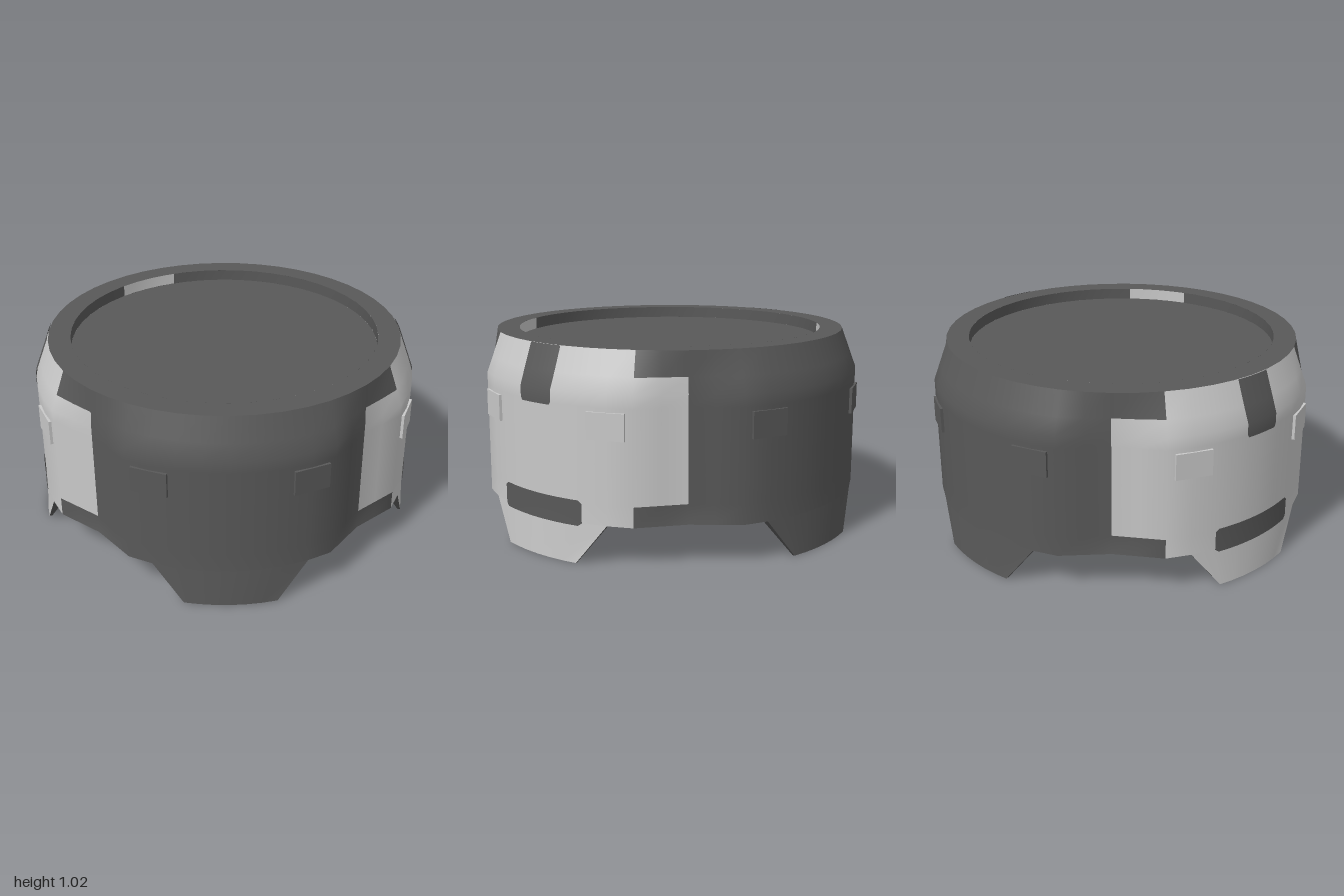
import * as THREE from 'three';

const mat = (name, color) => {
  const m = new THREE.MeshStandardMaterial({ color, side: THREE.DoubleSide });
  m.name = name;
  return m;
};
const rad = THREE.MathUtils.degToRad;
const lerp = THREE.MathUtils.lerp;

// Body radius by angle: round, with flattened corners on the four diagonals
function planRadius(deg) {
  let f = ((deg % 90) + 90) % 90;
  if (f > 45) f = 90 - f;
  if (f <= 30) return 0.99;
  const dx = -0.202, dy = 0.16, c = Math.cos(rad(f)), s = Math.sin(rad(f));
  return (0.857 * dy - 0.495 * dx) / (c * dy - s * dx);
}

// Body radius by angle and height: slight flare at the feet, taper at the rim
function wallRadius(deg, y) {
  const r = planRadius(deg);
  if (y < 0.2) return lerp(1, r, y / 0.2);
  if (y > 0.82) return lerp(r, 0.915, (y - 0.82) / 0.2);
  return r;
}

const polar = (deg, r, y) => new THREE.Vector3(r * Math.cos(rad(deg)), y, -r * Math.sin(rad(deg)));
const wallPoint = (deg, y, out = 0) => polar(deg, wallRadius(deg, y) + out, y);

// Smooth wall normal, shared by all panels so that no seams show
function wallNormal(p) {
  const deg = THREE.MathUtils.radToDeg(Math.atan2(-p.z, p.x));
  const around = wallPoint(deg + 6, p.y).sub(wallPoint(deg - 6, p.y));
  const up = wallPoint(deg, p.y + 0.06).sub(wallPoint(deg, p.y - 0.06));
  return around.cross(up).normalize();
}

// Angles from a to b in steps of about 7.5 degrees or finer
function arc(a, b, step = 7.5) {
  const n = Math.max(1, Math.ceil(Math.abs(b - a) / step));
  return Array.from({ length: n + 1 }, (_, i) => lerp(a, b, i / n));
}

// Surface through rows of points
function loft(rows) {
  const n = rows[0].length, index = [];
  for (let j = 0; j < rows.length - 1; j++) {
    for (let i = 0; i < n - 1; i++) {
      const a = j * n + i, d = a + n;
      index.push(a, a + 1, d + 1, a, d + 1, d);
    }
  }
  const g = new THREE.BufferGeometry().setFromPoints(rows.flat());
  g.setIndex(index);
  g.computeVertexNormals();
  return g;
}

export function createModel() {
  const group = new THREE.Group();
  const dark = mat('dark grey', 0x585858);
  const light = mat('light grey', 0xc8c8c8);
  const medium = mat('medium grey', 0xa2a2a2);

  const add = (name, geometry, material) => {
    const m = new THREE.Mesh(geometry, material);
    m.name = name;
    group.add(m);
    return m;
  };

  // Piece of the wall through rows of [height, half angle]
  const wall = (name, mid, rows, material, out = 0, step = 7.5) => {
    const columns = arc(-1, 1, step / rows[1][1]);
    const points = rows.map(([y, half]) => columns.map(s => wallPoint(mid + s * half, y, out)));
    const g = loft(points);
    points.flat().forEach((p, i) => g.attributes.normal.setXYZ(i, ...wallNormal(p)));
    add(name, g, material);
  };

  for (let k = 0; k < 4; k++) {
    const mid = k * 90, side = k % 2 === 0, colour = side ? light : dark;
    const half = side ? 30 : 60;

    // Outer wall: light panels left and right, stepped at top and bottom
    wall('wallPanel', mid, [0.3, 0.5, 0.7, 0.76, 0.82, 0.9].map(y => [y, 45]), colour);
    wall('upperWall', mid, [[0.9, half], [1.02, half]], colour);
    wall('lowerWall', mid, [[0.2, half], [0.3, half]], colour);

    // Painted patches on the light panels
    if (side) {
      wall('upperPatch', mid, [[0.75, 5.2], [0.765, 5.8], [0.82, 5.8], [0.9, 6], [1.02, 6.2]], dark, 0.004, 1.5);
      wall('lowerPatch', mid, [[0.185, 14], [0.2, 15.2], [0.295, 15.2], [0.31, 14]], dark, 0.004, 1.9);
    }

    // Foot: curved outer face, slanted wedge behind it
    const spread = arc(-1, 1, 1 / 3);
    const row = (r, y) => spread.map(s => polar(mid + s * lerp(13.3, 22.5, y / 0.2), r, y));
    const outLow = row(1, 0), outTop = row(0.99, 0.2);
    const inLow = row(0.985, 0), inTop = row(0.925, 0.2);
    add('footFace', loft([outLow, outTop]), colour);
    add('footInside', loft([inTop, inLow]), dark);
    add('footSole', loft([inLow, outLow]), dark);
    const e = spread.length - 1;
    add('footSide', loft([[inLow[0], outLow[0]], [inTop[0], outTop[0]]]), dark);
    add('footSide', loft([[outLow[e], inLow[e]], [outTop[e], inTop[e]]]), dark);

    // Raised studs
    for (const s of [-22.5, 22.5]) {
      const stud = add('stud', new THREE.BoxGeometry(0.04, 0.13, 0.185), colour);
      stud.position.copy(polar(mid + s, 0.978, 0.675));
      stud.rotation.y = rad(mid + s);
    }
  }

  // Rim, recess wall with two light facets, and recessed top
  const full = arc(0, 360);
  add('rim', loft([full.map(t => polar(t, 0.915, 1.02)), full.map(t => polar(t, 0.8, 1.02))]), dark);
  const recess = (a, b, material) => add('recessWall',
    loft([0.96, 1.02].map(y => arc(b, a).map(t => polar(t, 0.8, y)))), material);
  for (const a of [110, 290]) {
    recess(a, a + 24, light);
    recess(a + 24, a + 180, dark);
  }
  const floor = add('topPlate', new THREE.CircleGeometry(0.8, 48), dark);
  floor.rotation.x = -Math.PI / 2;
  floor.position.y = 0.96;

  // Underside plate with four round wells and a four-lobed centre well
  const outline = (n, f) => Array.from({ length: n }, (_, i) => f((i / n) * 360));
  const flat = p => new THREE.Vector2(p.x, p.z);
  const plate = new THREE.Shape(outline(48, t => flat(polar(t, planRadius(t), 0))));
  const lobed = t => {
    const f = rad(((t + 45) % 90) - 45), d = 0.1024 - 0.49 * Math.sin(f) ** 2;
    return d > 0 ? Math.min(0.48, 0.7 * Math.cos(f) - Math.sqrt(d)) : 0.48;
  };
  const wells = [{ name: 'centreWell', depth: 0.26, points: outline(96, t => flat(polar(t, lobed(t), 0))) }];
  for (let k = 0; k < 4; k++) {
    const c = flat(polar(k * 90, 0.7, 0));
    wells.push({ name: 'roundWell', depth: 0.3, points: outline(32, t => flat(polar(t, 0.22, 0)).add(c)) });
  }
  const faceDown = (name, shape, y, material) => {
    const m = add(name, new THREE.ShapeGeometry(shape), material);
    m.rotation.x = Math.PI / 2;
    m.position.y = y;
  };
  for (const w of wells) {
    plate.holes.push(new THREE.Path(w.points));
    const loop = [...w.points, w.points[0]].reverse();
    add(w.name + 'Wall', loft([0.2, 0.2 + w.depth].map(y =>
      loop.map(p => new THREE.Vector3(p.x, y, p.y)))), dark);
    faceDown(w.name + 'Ceiling', new THREE.Shape(w.points), 0.2 + w.depth, dark);
  }
  faceDown('underside', plate, 0.2, medium);

  return group;
}
